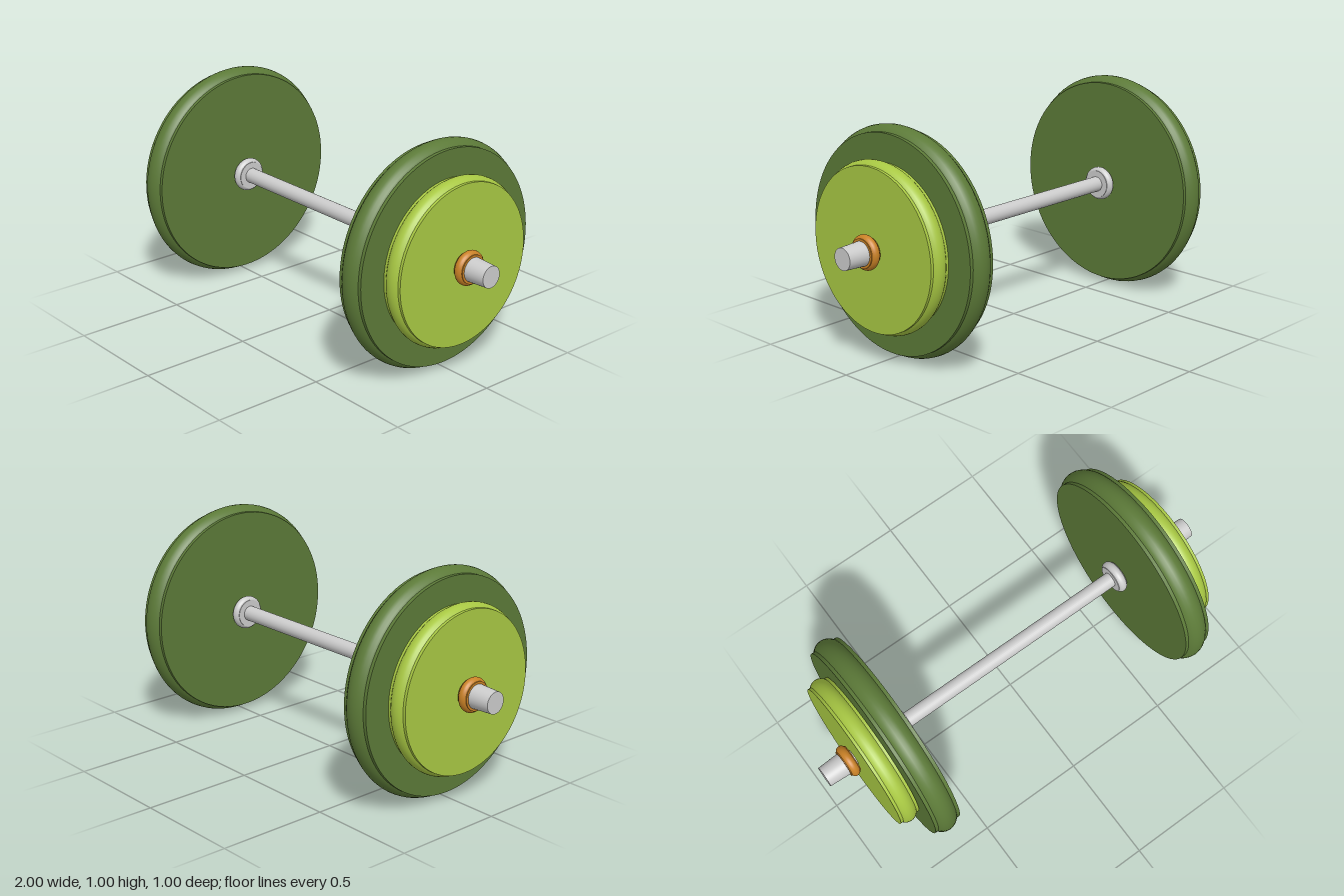
import * as THREE from 'three';

const material = (color) => new THREE.MeshStandardMaterial({ color });
const steel = material(0xcccccc);
const darkGreen = material(0x5c7a38);
const lime = material(0xa8c843);
const orange = material(0xc98126);

// Cylinder lying along x; rOut is the radius at the +x end
function bar(name, x, length, rOut, rIn, mat, sides = 48) {
  const geo = new THREE.CylinderGeometry(rOut, rIn, length, sides);
  geo.rotateZ(-Math.PI / 2);
  const mesh = new THREE.Mesh(geo, mat);
  mesh.name = name;
  mesh.position.x = x;
  return mesh;
}

// Disc with a round rim: a torus filled by a slightly wider flat cylinder
function roundedDisc(name, x, radius, tube, faceRadius, faceHalf, mat) {
  const group = new THREE.Group();
  group.name = name;
  const rimGeo = new THREE.TorusGeometry(radius - tube, tube, 24, 96);
  rimGeo.rotateY(Math.PI / 2);
  const rim = new THREE.Mesh(rimGeo, mat);
  rim.name = name + 'Rim';
  group.add(rim, bar(name + 'Face', 0, faceHalf * 2, faceRadius, faceRadius, mat, 96));
  group.position.x = x;
  return group;
}

// Everything on one end of the handle, pointing to +x
function weightStack(name) {
  const group = new THREE.Group();
  group.name = name;
  group.add(
    roundedDisc('innerCollar', 0.588, 0.078, 0.022, 0.064, 0.023, steel),
    roundedDisc('largePlate', 0.683, 0.5, 0.06, 0.475, 0.064, darkGreen),
    roundedDisc('smallPlate', 0.798, 0.372, 0.045, 0.355, 0.048, lime),
    roundedDisc('lockingCollar', 0.876, 0.076, 0.022, 0.063, 0.024, orange),
    bar('barEnd', 0.93, 0.14, 0.048, 0.055, steel),
  );
  return group;
}

export function createModel() {
  const model = new THREE.Group();
  model.name = 'dumbbell';
  const left = weightStack('leftWeights');
  const right = weightStack('rightWeights');
  right.rotation.y = Math.PI;
  model.add(bar('handle', 0, 1.8, 0.035, 0.035, steel, 32), left, right);
  // Large plates rest on the floor
  model.children.forEach((part) => { part.position.y = 0.5; });
  return model;
}
